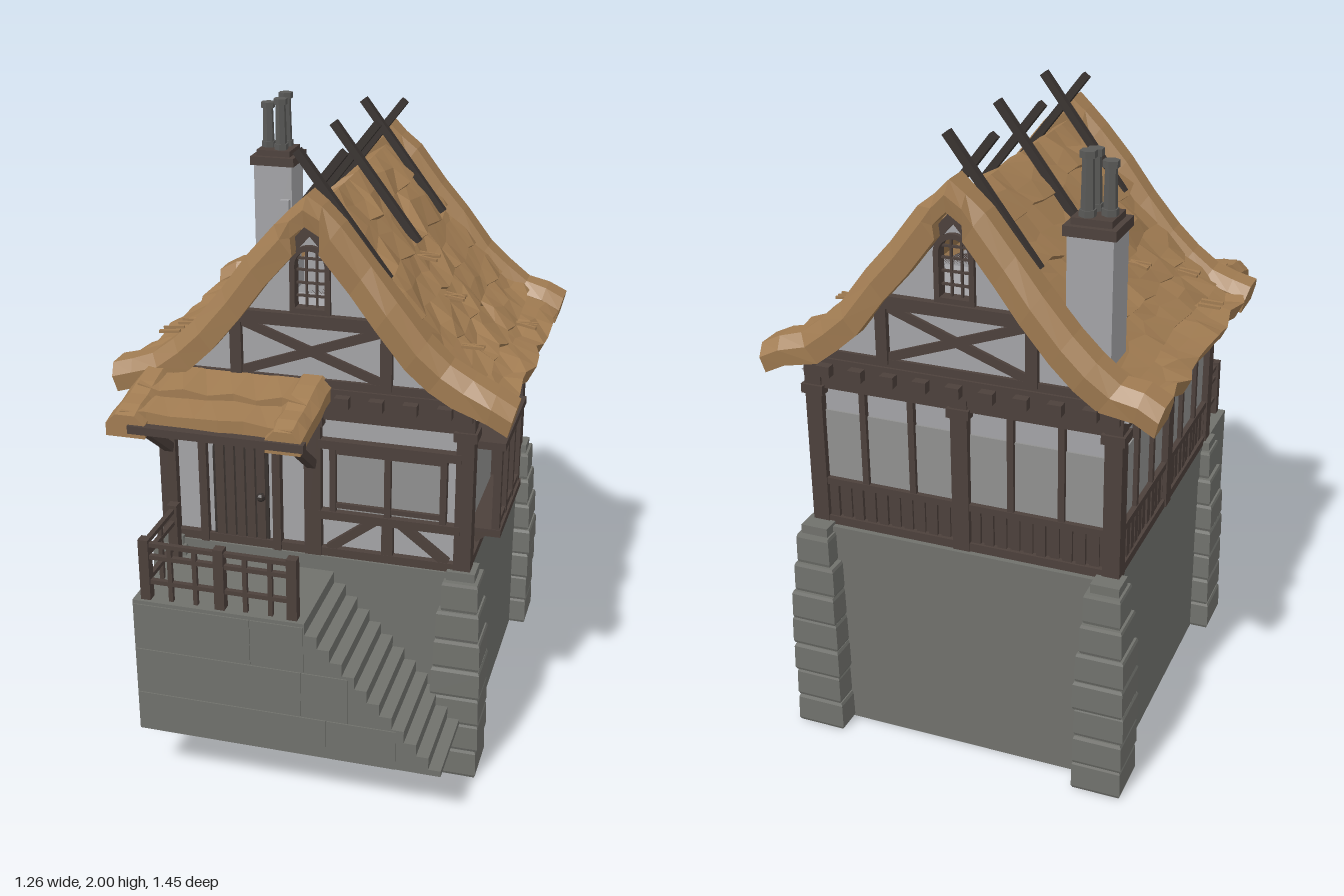
import * as THREE from 'three';

const mat = (name, color, extra = {}) => {
  const m = new THREE.MeshStandardMaterial({ color, flatShading: true, ...extra });
  m.name = name;
  return m;
};
const V = (x, y, z) => new THREE.Vector3(x, y, z);

export function createModel() {
  const root = new THREE.Group();
  root.name = 'cottage';
  const stone = mat('stone', 0x70716c), plaster = mat('plaster', 0xa3a3a6), glass = mat('dull pane', 0x90908f);
  const wood = mat('timber', 0x4c403b), pole = mat('dark pole', 0x38322f), pot = mat('chimney stone', 0x5a5a58);
  const thatch = mat('thatch', 0xa17c52, { side: THREE.DoubleSide });
  let seed = 7;
  const rnd = (a = 1) => {
    seed = (seed * 16807) % 2147483647;
    return (seed / 2147483647 * 2 - 1) * a;
  };
  const group = (name, parent = root) => {
    const g = new THREE.Group();
    g.name = name;
    parent.add(g);
    return g;
  };
  const add = (p, name, geo, m) => {
    const mesh = new THREE.Mesh(geo, m);
    mesh.name = name;
    p.add(mesh);
    return mesh;
  };
  // box given by its limits
  const box = (p, name, m, x0, x1, y0, y1, z0, z1) => {
    const b = add(p, name, new THREE.BoxGeometry(x1 - x0, y1 - y0, z1 - z0), m);
    b.position.set((x0 + x1) / 2, (y0 + y1) / 2, (z0 + z1) / 2);
    return b;
  };
  // square beam between two points of the parent's frame
  const beam = (p, name, m, a, b, w) => {
    const o = add(p, name, new THREE.BoxGeometry(w, w, a.distanceTo(b)), m);
    o.position.copy(a).add(b).multiplyScalar(0.5);
    o.quaternion.setFromRotationMatrix(new THREE.Matrix4().lookAt(b, a, V(0, 1, 0)));
    return o;
  };
  // closed cross-sections joined into a capped solid
  const loft = (rings) => {
    const pos = [], n = rings[0].length;
    const tri = (...vs) => vs.forEach((v) => pos.push(v.x, v.y, v.z));
    for (let i = 0; i < rings.length - 1; i++) for (let j = 0; j < n; j++) {
      const a = rings[i][j], b = rings[i][(j + 1) % n], c = rings[i + 1][(j + 1) % n], d = rings[i + 1][j];
      tri(a, b, c);
      tri(a, c, d);
    }
    const last = rings[rings.length - 1];
    for (let j = 1; j < n - 1; j++) {
      tri(rings[0][0], rings[0][j + 1], rings[0][j]);
      tri(last[0], last[j], last[j + 1]);
    }
    const g = new THREE.BufferGeometry();
    g.setAttribute('position', new THREE.Float32BufferAttribute(pos, 3));
    g.computeVertexNormals();
    return g;
  };
  const extrude = (shape, depth) => new THREE.ExtrudeGeometry(shape, { depth, bevelEnabled: false, curveSegments: 8 });
  const poly = (pts) => new THREE.Shape(pts.map((p) => new THREE.Vector2(...p)));
  const arch = (S, w, y0, y1) => {
    const s = new S();
    s.moveTo(-w, y0).lineTo(w, y0).lineTo(w, y1 - w).absarc(0, y1 - w, w, 0, Math.PI, false).lineTo(-w, y0);
    return s;
  };

  // hollow stone base
  const base = group('base');
  const ring = poly([[-0.5, -0.39], [0.5, -0.39], [0.5, 0.64], [-0.5, 0.64]]);
  ring.holes.push(new THREE.Path([[-0.42, -0.31], [-0.42, 0.56], [0.42, 0.56], [0.42, -0.31]].map((p) => new THREE.Vector2(...p))));
  add(base, 'baseWall', extrude(ring, 0.72), stone).rotation.x = -Math.PI / 2;
  // tapered corner piers of rough blocks
  for (const sx of [-1, 1]) for (const z of [0.36, -0.64]) {
    for (let i = 0; i < 7; i++) {
      const r = [0.08, 0.081, 0.08, 0.08, 0.077, 0.07, 0.058][i], y = i * 0.1, k = 0.004;
      const cx = sx * 0.48, h = [-r + rnd(k), r + rnd(k)], d = [-r + rnd(k), r + rnd(k)];
      const sq = (yy, s) => [V(cx + h[0] * s, yy, z + d[0] * s), V(cx + h[0] * s, yy, z + d[1] * s), V(cx + h[1] * s, yy, z + d[1] * s), V(cx + h[1] * s, yy, z + d[0] * s)];
      add(base, 'cornerBlock', loft([sq(y, 0.95), sq(y + 0.01, 1), sq(y + 0.09, 0.98), sq(y + 0.1, 0.93)]), stone);
    }
    box(base, 'pierCap', stone, sx * 0.48 - 0.045, sx * 0.48 + 0.045, 0.69, 0.73, z - 0.04, z + 0.04);
  }

  // landing and stair
  const stair = group('stair');
  const prof = [[0.5, 0.2], [0.5, 0.22]];
  for (let i = 0; i < 11; i++) prof.push([0.5 - i * 0.039, 0.22 + i * 0.041], [0.461 - i * 0.039, 0.22 + i * 0.041]);
  prof.push([0.071, 0.67], [-0.48, 0.67], [-0.48, 0.2]);
  add(stair, 'stairBlock', extrude(poly(prof), 0.335), stone).position.z = 0.388;
  for (const [x0, x1, y0, y1] of [[-0.48, -0.1, 0.5, 0.66], [-0.1, 0.07, 0.5, 0.66], [-0.48, 0.06, 0.34, 0.5], [0.06, 0.21, 0.34, 0.5], [-0.48, 0.14, 0.2, 0.34], [0.14, 0.36, 0.2, 0.34]])
    box(stair, 'facingSlab', stone, x0 + 0.002, x1 - 0.002, y0 + 0.002, y1 - 0.002, 0.715, 0.727);

  // railing around the landing
  const rail = group('railing');
  for (const x of [-0.44, -0.2, 0.03]) box(rail, 'railPost', wood, x - 0.016, x + 0.016, 0.66, 0.875, 0.68, 0.712);
  box(rail, 'railPost', wood, -0.456, -0.424, 0.66, 0.875, 0.44, 0.472);
  for (const y of [0.73, 0.815, 0.857]) {
    box(rail, 'rail', wood, -0.44, 0.03, y - 0.007, y + 0.007, 0.688, 0.704);
    box(rail, 'rail', wood, -0.448, -0.432, y - 0.007, y + 0.007, 0.45, 0.7);
  }
  for (const x of [-0.36, -0.28, -0.12, -0.04]) box(rail, 'baluster', wood, x - 0.007, x + 0.007, 0.67, 0.857, 0.69, 0.704);
  box(rail, 'baluster', wood, -0.447, -0.433, 0.67, 0.857, 0.565, 0.579);

  // timber-framed storey, each side built facing +z and turned into place
  const house = group('storey');
  house.position.z = -0.12;
  box(house, 'plasterWalls', plaster, -0.48, 0.48, 0.7, 1.25, -0.48, 0.48);
  const [front, right, back, left] = ['frontSide', 'rightSide', 'backSide', 'leftSide'].map((n, i) => {
    const g = group(n, house);
    g.rotation.y = i * Math.PI / 2;
    box(g, 'sill', wood, -0.5, 0.5, 0.72, 0.748, 0.47, 0.503);
    box(g, 'topPlate', wood, -0.5, 0.5, 1.19, 1.25, 0.47, 0.5);
    for (const x of [-0.48, 0, 0.48]) {
      box(g, 'post', wood, x - 0.027, x + 0.027, 0.72, 1.25, 0.455, 0.507);
      box(g, 'postHead', wood, x - 0.036, x + 0.036, 1.17, 1.2, 0.45, 0.516);
    }
    return g;
  });
  const panels = (g, x0, x1, n) => {
    box(g, 'panes', glass, x0, x1, 0.87, 1.11, 0.478, 0.486);
    box(g, 'midRail', wood, x0, x1, 0.86, 0.882, 0.47, 0.503);
    for (let i = 1; i < n; i++) {
      const x = x0 + (x1 - x0) * i / n;
      box(g, 'mullion', wood, x - 0.01, x + 0.01, 0.87, 1.2, 0.47, 0.5);
    }
    box(g, 'boardBacking', wood, x0, x1, 0.74, 0.87, 0.475, 0.484);
    for (let x = x0 + 0.03; x < x1 - 0.01; x += 0.042) box(g, 'board', wood, x, x + 0.03, 0.745, 0.865, 0.48, 0.494 + rnd(0.003));
  };
  panels(right, 0, 0.48, 3);
  for (const g of [back, left]) { panels(g, -0.48, 0, 3); panels(g, 0, 0.48, 3); }

  // front window with braces below
  box(front, 'frontPane', glass, 0.06, 0.42, 0.88, 1.1, 0.478, 0.487);
  for (const y of [0.867, 1.11]) box(front, 'windowRail', wood, 0.02, 0.47, y - 0.014, y + 0.014, 0.47, 0.51);
  for (const x of [0.065, 0.24, 0.415]) box(front, 'windowBar', wood, x - 0.01, x + 0.01, 0.87, 1.11, 0.47, 0.505);
  for (const y of [0.9, 1.085]) box(front, 'windowBar', wood, 0.06, 0.42, y - 0.008, y + 0.008, 0.47, 0.5);
  for (const [a, b] of [[0.05, 0.2], [0.43, 0.28]]) beam(front, 'lowBrace', wood, V(a, 0.745, 0.487), V(b, 0.86, 0.487), 0.028);
  box(front, 'lowStud', wood, 0.222, 0.258, 0.74, 0.86, 0.47, 0.502);
  // arched door
  const door = group('door', front);
  door.position.x = -0.24;
  box(door, 'doorSurround', plaster, -0.115, 0.115, 0.72, 1.16, 0.475, 0.487);
  add(door, 'doorLeaf', extrude(arch(THREE.Shape, 0.092, 0.7, 1.13), 0.012), pole).position.z = 0.482;
  for (let i = -2; i <= 2; i++) box(door, 'doorPlank', wood, i * 0.034 - 0.014, i * 0.034 + 0.014, 0.72, 1.11 - Math.abs(i) * 0.018, 0.49, 0.5);
  for (const s of [-1, 1]) box(door, 'doorJamb', wood, s * 0.122 - 0.013, s * 0.122 + 0.013, 0.72, 1.2, 0.47, 0.51);
  box(door, 'doorLintel', wood, -0.135, 0.135, 1.145, 1.17, 0.47, 0.51);
  add(door, 'doorKnob', new THREE.SphereGeometry(0.015, 6, 5), pole).position.set(0.07, 0.9, 0.507);
  // open bay on the right side
  const bay = group('bayWindow', right);
  bay.position.x = -0.24;
  box(bay, 'bayPane', glass, -0.18, 0.18, 0.85, 1.12, 0.478, 0.486);
  for (const [y0, y1, d] of [[0.825, 0.85, 0.585], [1.12, 1.145, 0.59]]) box(bay, 'bayPlate', wood, -0.195, 0.195, y0, y1, 0.47, d);
  for (const x of [-0.18, -0.06, 0.06, 0.18]) box(bay, 'bayPost', wood, x - 0.012, x + 0.012, 0.84, 1.13, 0.556, 0.58);
  for (const y of [0.865, 1.105]) box(bay, 'bayRail', wood, -0.18, 0.18, y - 0.01, y + 0.01, 0.56, 0.578);
  for (const x of [-0.11, 0.11]) beam(bay, 'bayBracket', wood, V(x, 0.77, 0.49), V(x, 0.84, 0.57), 0.024);

  // gables with arched see-through window
  for (const turn of [0, Math.PI]) {
    const g = group('gable');
    g.position.z = -0.12;
    g.rotation.y = turn;
    const tri = poly([[-0.52, 1.24], [0.52, 1.24], [0.3, 1.45], [0, 1.81], [-0.3, 1.45]]);
    tri.holes.push(arch(THREE.Path, 0.048, 1.545, 1.725));
    add(g, 'gableWall', extrude(tri, 0.03), plaster).position.z = 0.47;
    const frame = arch(THREE.Shape, 0.062, 1.53, 1.74);
    frame.holes.push(arch(THREE.Path, 0.046, 1.546, 1.724));
    add(g, 'windowFrame', extrude(frame, 0.04), wood).position.z = 0.475;
    for (const x of [-0.016, 0.016]) box(g, 'latticeBar', wood, x - 0.003, x + 0.003, 1.54, 1.72, 0.485, 0.495);
    for (const y of [1.58, 1.62, 1.66, 1.695]) box(g, 'latticeBar', wood, -0.046, 0.046, y - 0.003, y + 0.003, 0.485, 0.495);
    box(g, 'tieBeam', wood, -0.5, 0.5, 1.235, 1.3, 0.47, 0.52);
    box(g, 'gableSill', wood, -0.42, 0.42, 1.298, 1.325, 0.48, 0.512);
    box(g, 'collar', wood, -0.26, 0.26, 1.49, 1.53, 0.48, 0.525);
    for (let i = -4; i <= 4; i++) box(g, 'joistEnd', wood, i * 0.105 - 0.022, i * 0.105 + 0.022, 1.25, 1.285, 0.48, 0.55);
    for (const s of [-1, 1]) {
      box(g, 'gablePost', wood, s * 0.235 - 0.018, s * 0.235 + 0.018, 1.31, 1.5, 0.48, 0.52);
      beam(g, 'crossBrace', wood, V(-0.22 * s, 1.33, 0.497), V(0.22 * s, 1.49, 0.497), 0.028);
      beam(g, 'rafter', wood, V(0, 1.79, 0.495), V(s * 0.48, 1.25, 0.495), 0.03);
    }
  }

  // overlapping ragged thatch courses
  const roof = group('roof');
  const P = [[0, 1.83], [0.1, 1.735], [0.2, 1.62], [0.3, 1.51], [0.4, 1.41], [0.5, 1.33], [0.6, 1.28]];
  for (const s of [-1, 1]) for (let i = 0; i < 6; i++) {
    const [x0, y0] = P[i], [x1, y1] = P[i + 1], l = Math.hypot(x1 - x0, y1 - y0);
    const nx = (y0 - y1) / l, ny = (x1 - x0) / l, rings = [];
    for (let k = 0; k <= 12; k++) {
      const e = 0.01 + rnd(0.016), t = 0.014 + rnd(0.013), z = -0.6 + k * 0.0775 + (k % 12 ? rnd(0.022) : 0);
      const ex = x1 + ny * e, ey = y1 - nx * e, f = 0.5 + rnd(0.2), m = 0.008 + rnd(0.014);
      const mx = x0 + (x1 - x0) * f + nx * m, my = y0 + (y1 - y0) * f + ny * m;
      rings.push([V(s * (x0 - nx * 0.04), y0 - ny * 0.04, z), V(s * x0, y0 + 0.002, z), V(s * mx, my, z + rnd(0.015)), V(s * (ex + nx * t), ey + ny * t, z), V(s * (ex - nx * 0.04), ey - ny * 0.04, z)]);
    }
    add(roof, 'thatchCourse', loft(rings), thatch);
    if (i < 2) continue;
    const z = -0.12 + rnd(0.36), x = (x0 + x1) / 2, y = (y0 + y1) / 2;
    for (let q = 0; q < 3; q++) beam(roof, 'looseStraw', thatch, V(s * (x - 0.03), y + 0.03, z + rnd(0.03)), V(s * (x + 0.04), y + 0.025, z + rnd(0.03)), 0.009);
  }
  // thick verge rolls over both gables, flaring at the eaves
  const E = [[0.632, 1.315], [0.57, 1.345], [0.5, 1.37], [0.43, 1.42], [0.36, 1.485], [0.27, 1.6], [0.19, 1.70], [0.1, 1.81], [0.045, 1.865]];
  const path = [...E.map(([x, y]) => [-x, y]), [0, 1.9], ...E.slice().reverse()];
  for (const zc of [0.375, -0.605]) {
    const rings = path.map(([x, y]) => {
      const s = Math.sign(x), ax = Math.abs(x), w = (ax > 0.55 || ax < 0.02 ? 0.076 : 0.066) + rnd(0.007), up = rnd(0.01);
      const k = ax > 0.5 ? 0.25 : ax < 0.05 ? 0 : 0.7, nx = -s * k * 0.085, ny = -0.085;
      const at = (d, dz) => V(x + nx * d, y + ny * d + up, zc + dz);
      return [at(0.4, -w), at(0, -w * 0.55), at(0, w * 0.55), at(0.4, w), at(1, w * 0.9), at(1, -w * 0.9)];
    });
    add(roof, 'vergeRoll', loft(rings), thatch);
  }
  // eave rafter ends
  for (const s of [-1, 1]) for (let i = 0; i < 8; i++) box(roof, 'eaveRafter', wood, s * 0.53 - 0.05, s * 0.53 + 0.05, 1.235, 1.265, -0.53 + i * 0.117, -0.5 + i * 0.117);
  // crossed ridge poles, slightly skewed
  for (const z of [0.268, -0.125, -0.497]) for (const s of [-1, 1]) {
    const at = (x, y) => V(x, y, z - s * 0.011 + x * 0.06);
    beam(roof, 'ridgePole', pole, at(s * 0.07, 1.99), at(-s * 0.215, 1.625), 0.025);
  }

  // porch roof on brackets
  const porch = group('porch');
  for (const [z0, y0, z1, y1] of [[0.36, 1.325, 0.55, 1.3], [0.53, 1.29, 0.68, 1.268]]) {
    const rings = [];
    for (let k = 0; k <= 7; k++) {
      const x = -0.5 + k * 0.076, e = z1 + rnd(0.015), t = rnd(0.008);
      rings.push([V(x, y0 - 0.04, z0), V(x, y0, z0), V(x, y1 + 0.012 + t, e), V(x, y1 - 0.025, e)]);
    }
    add(porch, 'porchThatch', loft(rings), thatch);
  }
  for (const x of [-0.48, 0.005]) {
    const rings = [0.38, 0.45, 0.52, 0.58, 0.64, 0.695].map((z, i) => {
      const y = 1.335 - i * 0.011 + rnd(0.006), w = 0.056 + rnd(0.007);
      return [V(x - w, y - 0.07, z), V(x - w, y - 0.03, z), V(x - w * 0.5, y, z), V(x + w * 0.5, y, z), V(x + w, y - 0.03, z), V(x + w, y - 0.07, z)];
    });
    add(porch, 'porchVerge', loft(rings), thatch);
  }
  for (const x of [-0.47, 0]) {
    beam(porch, 'porchBracket', wood, V(x, 1.04, 0.39), V(x, 1.235, 0.65), 0.028);
    beam(porch, 'porchRafter', wood, V(x, 1.255, 0.38), V(x, 1.235, 0.69), 0.026);
  }
  box(porch, 'porchBeam', wood, -0.47, 0.07, 1.222, 1.247, 0.675, 0.705);

  // chimney with three pots
  const chimney = group('chimney');
  box(chimney, 'shaft', plaster, -0.448, -0.312, 1.3, 1.76, -0.57, -0.435);
  box(chimney, 'shoulder', plaster, -0.35, -0.318, 1.5, 1.64, -0.445, -0.415);
  box(chimney, 'capSlab', wood, -0.458, -0.302, 1.755, 1.785, -0.58, -0.425);
  box(chimney, 'capTop', wood, -0.44, -0.32, 1.785, 1.805, -0.562, -0.443);
  for (const [x, z, h] of [[-0.415, -0.505, 0.16], [-0.36, -0.535, 0.19], [-0.36, -0.475, 0.18]]) {
    add(chimney, 'pot', new THREE.CylinderGeometry(0.017, 0.021, h, 6), pot).position.set(x, 1.8 + h / 2, z);
    for (const y of [1.815, 1.79 + h]) add(chimney, 'potBand', new THREE.CylinderGeometry(0.025, 0.025, 0.02, 6), pot).position.set(x, y, z);
  }
  return root;
}
